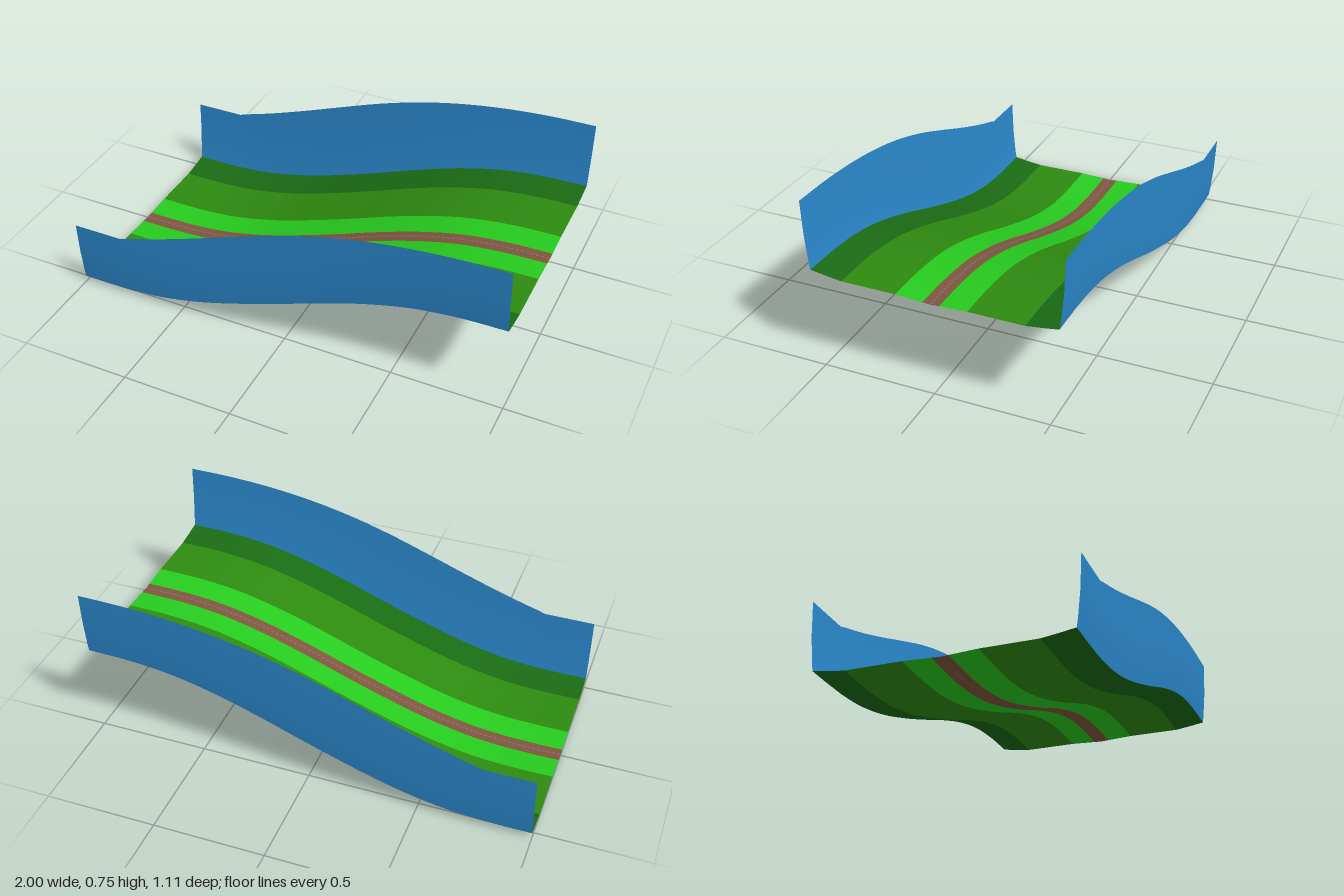
import * as THREE from 'three';

// Heights of the ground line and of the wall's upper edge along x
const xs = [-1, -0.8, -0.7, -0.6, -0.4, -0.2, 0, 0.2, 0.4, 0.6, 0.8, 1];
const floorY = new THREE.CubicInterpolant(xs, [0, 0, 0.006, 0.017, 0.06, 0.123, 0.195, 0.272, 0.34, 0.39, 0.414, 0.42], 1);
const kink = -0.77;
const rimY = new THREE.CubicInterpolant(
  [kink, -0.6, -0.4, -0.2, 0, 0.2, 0.4, 0.6, 0.8, 1],
  [0.335, 0.387, 0.457, 0.532, 0.604, 0.663, 0.706, 0.734, 0.749, 0.753], 1);
const ground = x => floorY.evaluate(x)[0];
const rim = x => (x <= kink ? 0.333 : rimY.evaluate(x)[0]);

// Stations along the slope, with one exactly on the kink of the rim
const stations = [-1, -0.885];
for (let i = 0; i <= 48; i++) stations.push(kink + (1 - kink) * i / 48);

// Sweeps a cross-section of [z, height, share of the way to the rim] along x
function strip(name, color, section) {
  const pos = [], idx = [], n = section.length;
  stations.forEach((x, i) => {
    const g = ground(x), top = rim(x);
    for (const [z, h, share = 0] of section) {
      pos.push(x, THREE.MathUtils.lerp(g + h, top, share), z);
    }
    if (i === 0) return;
    for (let j = 0; j < n - 1; j++) {
      const a = (i - 1) * n + j, b = a + n;
      idx.push(a, a + 1, b, b, a + 1, b + 1);
    }
  });
  const geo = new THREE.BufferGeometry();
  geo.setAttribute('position', new THREE.Float32BufferAttribute(pos, 3));
  geo.setIndex(idx);
  geo.computeVertexNormals();
  const mesh = new THREE.Mesh(geo, new THREE.MeshStandardMaterial({ color, side: THREE.DoubleSide }));
  mesh.name = name;
  return mesh;
}

export function createModel() {
  const group = new THREE.Group();
  group.name = 'slopedTrack';

  // Middle path
  group.add(strip('centrePath', 0x80563c, [[-0.036, 0.002], [0, 0], [0.036, 0.002]]));

  // Grass bands, banks and walls on both sides
  const bands = [
    ['innerGrass', 0x27cc1f, [[0.036, 0.002], [0.155, 0.008]]],
    ['outerGrass', 0x2e8b10, [[0.155, 0.008], [0.395, 0.008]]],
    ['bank', 0x1a6b14, [[0.395, 0.008], [0.47, 0.018], [0.533, 0.028]]],
    ['wall', 0x2a88cc, [[0.533, 0.028], [0.538, 0.028, 0.12], [0.549, 0.028, 0.5], [0.555, 0.028, 1]]],
  ];
  for (const [name, color, section] of bands) {
    group.add(strip(name + 'Front', color, section));
    const mirrored = section.map(([z, h, share]) => [-z, h, share]).reverse();
    group.add(strip(name + 'Back', color, mirrored));
  }

  // Fine row of links down the middle of the path
  const links = new THREE.Group();
  links.name = 'centreLinks';
  const linkGeo = new THREE.BoxGeometry(0.014, 0.002, 0.012);
  const linkMat = new THREE.MeshStandardMaterial({ color: 0x80666a });
  for (let i = 0; i < 90; i++) {
    const x = -0.99 + 1.98 * i / 89;
    const link = new THREE.Mesh(linkGeo, linkMat);
    link.name = 'link';
    link.position.set(x, ground(x) + 0.0015, 0);
    link.rotation.z = Math.atan2(ground(x + 0.005) - ground(x - 0.005), 0.01);
    links.add(link);
  }
  group.add(links);
  return group;
}
